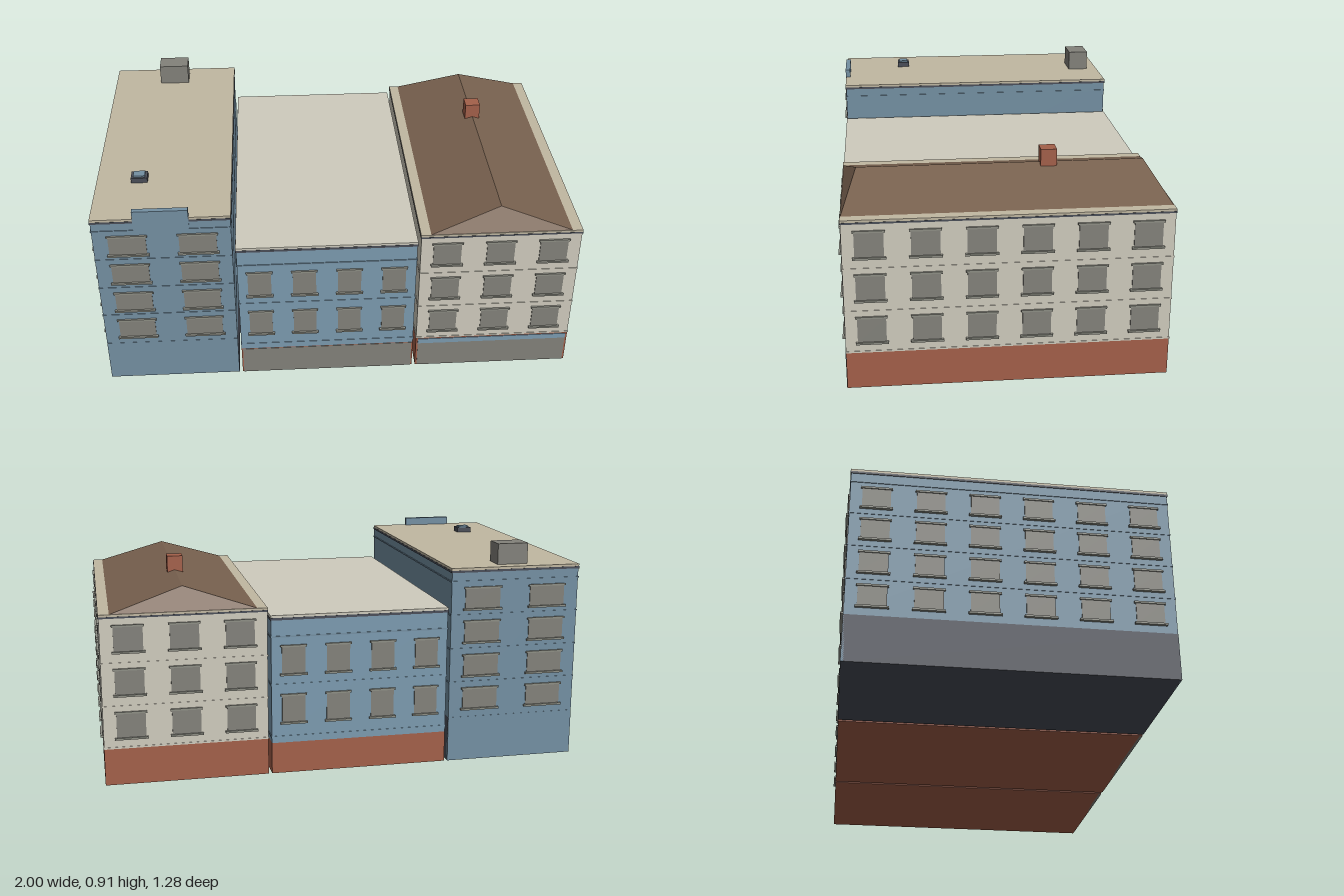
import * as THREE from 'three';

const mat = (color) => new THREE.MeshStandardMaterial({ color, flatShading: true });
const M = {
  blue: mat(0x7490a3), paleBlue: mat(0x7c9bb0), slate: mat(0x4a4e58), cream: mat(0xd0ccbe),
  brick: mat(0xa4604a), roof: mat(0x78614f), sand: mat(0xc1b8a2), paleRoof: mat(0xcfccbe),
  glass: mat(0x83827b), trim: mat(0x8f9086), grey: mat(0x83827b),
};
const DEPTH = 0.628;

// Box given by its extents on each axis
function box(parent, name, material, [x0, x1], [y0, y1], [z0, z1]) {
  const mesh = new THREE.Mesh(new THREE.BoxGeometry(x1 - x0, y1 - y0, z1 - z0), material);
  mesh.position.set((x0 + x1) / 2, (y0 + y1) / 2, (z0 + z1) / 2);
  mesh.name = name;
  parent.add(mesh);
  return mesh;
}

// Window facing +z at its own origin: pane, lintel and sill
function makeWindow(w, h) {
  const g = new THREE.Group();
  g.name = 'window';
  box(g, 'pane', M.glass, [-w / 2, w / 2], [-h / 2, h / 2], [-0.01, 0.004]);
  box(g, 'lintel', M.trim, [-w / 2 - 0.006, w / 2 + 0.006], [h / 2 - 0.004, h / 2 + 0.004], [-0.01, 0.008]);
  box(g, 'sill', M.trim, [-w / 2 - 0.008, w / 2 + 0.008], [-h / 2 - 0.006, -h / 2 + 0.002], [-0.01, 0.012]);
  return g;
}

// Window grids on the front and back walls
function facadeWindows(parent, xs, ys, w, h) {
  for (const x of xs) for (const y of ys) for (const side of [1, -1]) {
    const win = makeWindow(w, h);
    win.position.set(x, y, side * DEPTH);
    if (side < 0) win.rotation.y = Math.PI;
    parent.add(win);
  }
}

// Window grid on an outer side wall
function sideWindows(parent, x, ys, h) {
  const dir = Math.sign(x);
  for (let i = 0; i < 6; i++) for (const y of ys) {
    const win = makeWindow(0.11, h);
    win.position.set(x, y, -0.526 + i * 0.2104);
    win.rotation.y = dir * Math.PI / 2;
    parent.add(win);
  }
}

// Thin band running around a building
function band(parent, name, material, [x0, x1], ys, out) {
  box(parent, name, material, [x0 - out, x1 + out], ys, [-DEPTH - out, DEPTH + out]);
}

function tallBuilding() {
  const g = new THREE.Group();
  g.name = 'tallBuilding';
  const X = [-0.986, -0.436], Z = [-DEPTH, DEPTH];
  box(g, 'groundFloor', M.slate, X, [0, 0.19], Z);
  box(g, 'frontGroundWall', M.blue, X, [0, 0.19], [DEPTH - 0.01, DEPTH + 0.001]);
  box(g, 'rearGroundWall', M.blue, X, [0, 0.19], [-DEPTH - 0.001, -DEPTH + 0.01]);
  box(g, 'walls', M.blue, X, [0.19, 0.815], Z);
  const rows = [0.27, 0.413, 0.557, 0.698];
  for (const y of [0.342, 0.485, 0.628]) band(g, 'stringCourse', M.blue, X, [y - 0.003, y + 0.003], 0.002);
  band(g, 'cornice', M.blue, X, [0.766, 0.772], 0.003);
  band(g, 'roofEdge', M.slate, X, [0.806, 0.815], 0.003);
  band(g, 'flatRoof', M.sand, X, [0.815, 0.825], 0.002);
  facadeWindows(g, [-0.85, -0.57], rows, 0.15, 0.088);
  sideWindows(g, X[0], rows, 0.088);
  // Rooftop pieces
  box(g, 'frontParapet', M.blue, [-0.82, -0.6], [0.77, 0.86], [0.61, 0.632]);
  box(g, 'stairHouse', M.grey, [-0.778, -0.648], [0.82, 0.912], [-0.58, -0.49]);
  box(g, 'hatch', M.slate, [-0.845, -0.778], [0.82, 0.847], [0.315, 0.37]);
  box(g, 'hatchLid', M.blue, [-0.835, -0.788], [0.845, 0.854], [0.323, 0.362]);
  return g;
}

function lowBuilding() {
  const g = new THREE.Group();
  g.name = 'lowBuilding';
  const X = [-0.422, 0.314], Z = [-DEPTH, DEPTH];
  box(g, 'groundFloor', M.brick, X, [0, 0.13], Z);
  box(g, 'shopFront', M.grey, [X[0] + 0.006, X[1] - 0.006], [0, 0.128], [DEPTH - 0.01, DEPTH + 0.002]);
  box(g, 'walls', M.paleBlue, X, [0.13, 0.65], Z);
  for (const y of [0.155, 0.375]) band(g, 'stringCourse', M.paleBlue, X, [y - 0.004, y + 0.004], 0.002);
  band(g, 'cornice', M.blue, X, [0.572, 0.578], 0.003);
  band(g, 'roofEdge', M.slate, X, [0.643, 0.653], 0.003);
  band(g, 'flatRoof', M.paleRoof, X, [0.653, 0.663], 0.002);
  facadeWindows(g, [-0.333, -0.148, 0.038, 0.223], [0.274, 0.478], 0.096, 0.116);
  return g;
}

// Hip roof: a triangular prism whose ridge ends are pulled inward
function hipRoof() {
  const tri = new THREE.Shape([[-0.292, 0], [0.292, 0], [0, 0.092]].map(([x, y]) => new THREE.Vector2(x, y)));
  const geo = new THREE.ExtrudeGeometry(tri, { depth: 2 * DEPTH, bevelEnabled: false });
  geo.translate(0, 0, -DEPTH);
  const p = geo.attributes.position;
  for (let i = 0; i < p.count; i++) if (p.getY(i) > 0.05) p.setZ(i, Math.sign(p.getZ(i)) * 0.57);
  geo.computeVertexNormals();
  const mesh = new THREE.Mesh(geo, M.roof);
  mesh.name = 'hipRoof';
  mesh.position.set(0.656, 0.695, 0);
  return mesh;
}

function hippedBuilding() {
  const g = new THREE.Group();
  g.name = 'hippedBuilding';
  const X = [0.328, 0.986], Z = [-DEPTH, DEPTH];
  box(g, 'groundFloor', M.brick, X, [0, 0.15], Z);
  box(g, 'shopFront', M.grey, [X[0] + 0.008, X[1] - 0.008], [0, 0.122], [DEPTH - 0.01, DEPTH + 0.002]);
  box(g, 'shopFascia', M.paleBlue, [X[0] + 0.008, X[1] - 0.008], [0.122, 0.146], [DEPTH - 0.01, DEPTH + 0.003]);
  box(g, 'walls', M.cream, X, [0.15, 0.685], Z);
  for (const y of [0.155, 0.325, 0.5]) band(g, 'stringCourse', M.cream, X, [y - 0.003, y + 0.003], 0.002);
  band(g, 'eavesEdge', M.slate, X, [0.68, 0.687], 0.003);
  band(g, 'eaves', M.sand, X, [0.687, 0.696], 0.002);
  const rows = [0.247, 0.423, 0.598];
  facadeWindows(g, [0.437, 0.657, 0.876], rows, 0.115, 0.104);
  sideWindows(g, X[1], rows, 0.104);
  g.add(hipRoof());
  box(g, 'chimney', M.brick, [0.622, 0.687], [0.74, 0.846], [-0.218, -0.154]);
  return g;
}

export function createModel() {
  const model = new THREE.Group();
  model.name = 'cityBlock';
  model.add(tallBuilding(), lowBuilding(), hippedBuilding());
  return model;
}
